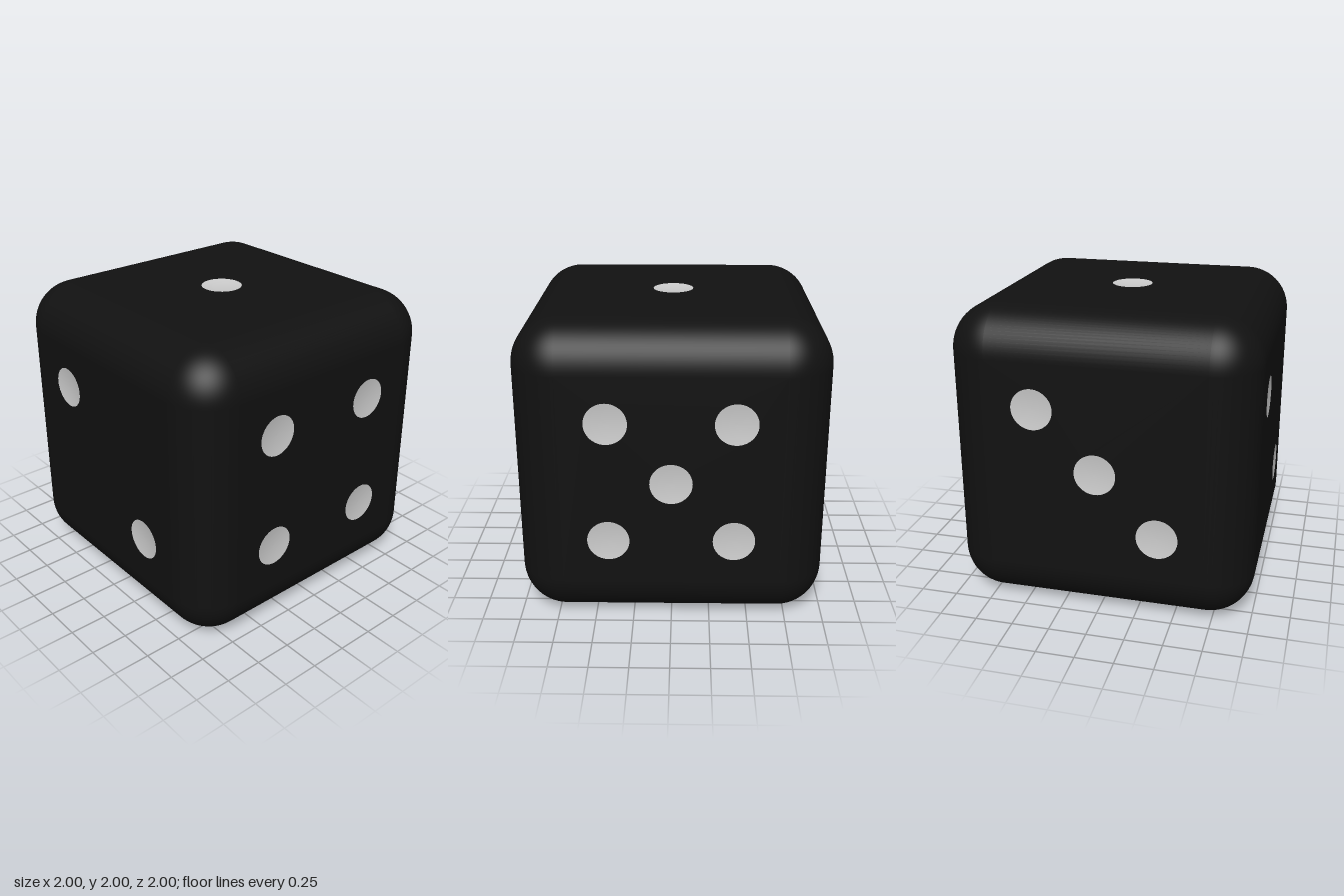
import * as THREE from 'three';
import { RoundedBoxGeometry } from 'three/addons/geometries/RoundedBoxGeometry.js';

const HALF = 1, EDGE = 0.3, FLAT = HALF - EDGE;
const PIP_R = 0.135, PIP_DEPTH = 0.01, S = 0.4;

const diagonal = [[-S, S], [S, -S]];
const corners = [[-S, S], [S, -S], [S, S], [-S, -S]];

// Each face: name, rotation from the front, pip positions
const faces = [
  ['front', [0, 0, 0], diagonal],
  ['left', [0, Math.PI / 2, 0], corners],
  ['back', [0, Math.PI, 0], [...corners, [0, 0]]],
  ['right', [0, -Math.PI / 2, 0], [...diagonal, [0, 0]]],
  ['top', [-Math.PI / 2, 0, 0], [[0, 0]]],
  ['bottom', [Math.PI / 2, 0, 0], [...corners, [0, S], [0, -S]]],
];

// Rounded edges and corners only: drop the flat centre of every side
function roundedFrame() {
  const source = new RoundedBoxGeometry(2 * HALF, 2 * HALF, 2 * HALF, 10, EDGE);
  const p = source.attributes.position, n = source.attributes.normal;
  const position = [], normal = [];
  const axial = (i) => Math.max(Math.abs(n.getX(i)), Math.abs(n.getY(i)), Math.abs(n.getZ(i))) > 0.9999;
  for (let i = 0; i < p.count; i += 3) {
    if (axial(i) && axial(i + 1) && axial(i + 2)) continue;
    for (let j = i; j < i + 3; j++) {
      position.push(p.getX(j), p.getY(j), p.getZ(j));
      normal.push(n.getX(j), n.getY(j), n.getZ(j));
    }
  }
  const geometry = new THREE.BufferGeometry();
  geometry.setAttribute('position', new THREE.Float32BufferAttribute(position, 3));
  geometry.setAttribute('normal', new THREE.Float32BufferAttribute(normal, 3));
  return geometry;
}

// Flat square with a round hole for each pip
function facePlate(pips) {
  const shape = new THREE.Shape([
    new THREE.Vector2(-FLAT, -FLAT), new THREE.Vector2(FLAT, -FLAT),
    new THREE.Vector2(FLAT, FLAT), new THREE.Vector2(-FLAT, FLAT),
  ]);
  for (const [x, y] of pips) {
    shape.holes.push(new THREE.Path().absarc(x, y, PIP_R, 0, Math.PI * 2, true));
  }
  return new THREE.ShapeGeometry(shape, 24);
}

// Shallow concave dish
function pipDish() {
  const geometry = new THREE.RingGeometry(0, PIP_R, 48, 6);
  const p = geometry.attributes.position;
  for (let i = 0; i < p.count; i++) {
    const t = Math.hypot(p.getX(i), p.getY(i)) / PIP_R;
    p.setZ(i, -PIP_DEPTH * (1 - t * t));
  }
  geometry.computeVertexNormals();
  return geometry;
}

export function createModel() {
  const black = new THREE.MeshStandardMaterial({ color: 0x111111 });
  const grey = new THREE.MeshStandardMaterial({ color: 0xcccccc });
  const die = new THREE.Group();
  die.name = 'die';

  const frame = new THREE.Mesh(roundedFrame(), black);
  frame.name = 'roundedEdges';
  frame.position.y = HALF;
  die.add(frame);

  const dish = pipDish();
  for (const [name, rotation, pips] of faces) {
    const face = new THREE.Group();
    face.name = name + 'Face';
    face.position.y = HALF;
    face.rotation.set(...rotation);

    const plate = new THREE.Mesh(facePlate(pips), black);
    plate.name = name + 'Plate';
    plate.position.z = HALF;
    face.add(plate);

    for (const [x, y] of pips) {
      const pip = new THREE.Mesh(dish, grey);
      pip.name = 'pip';
      pip.position.set(x, y, HALF);
      face.add(pip);
    }
    die.add(face);
  }
  return die;
}
